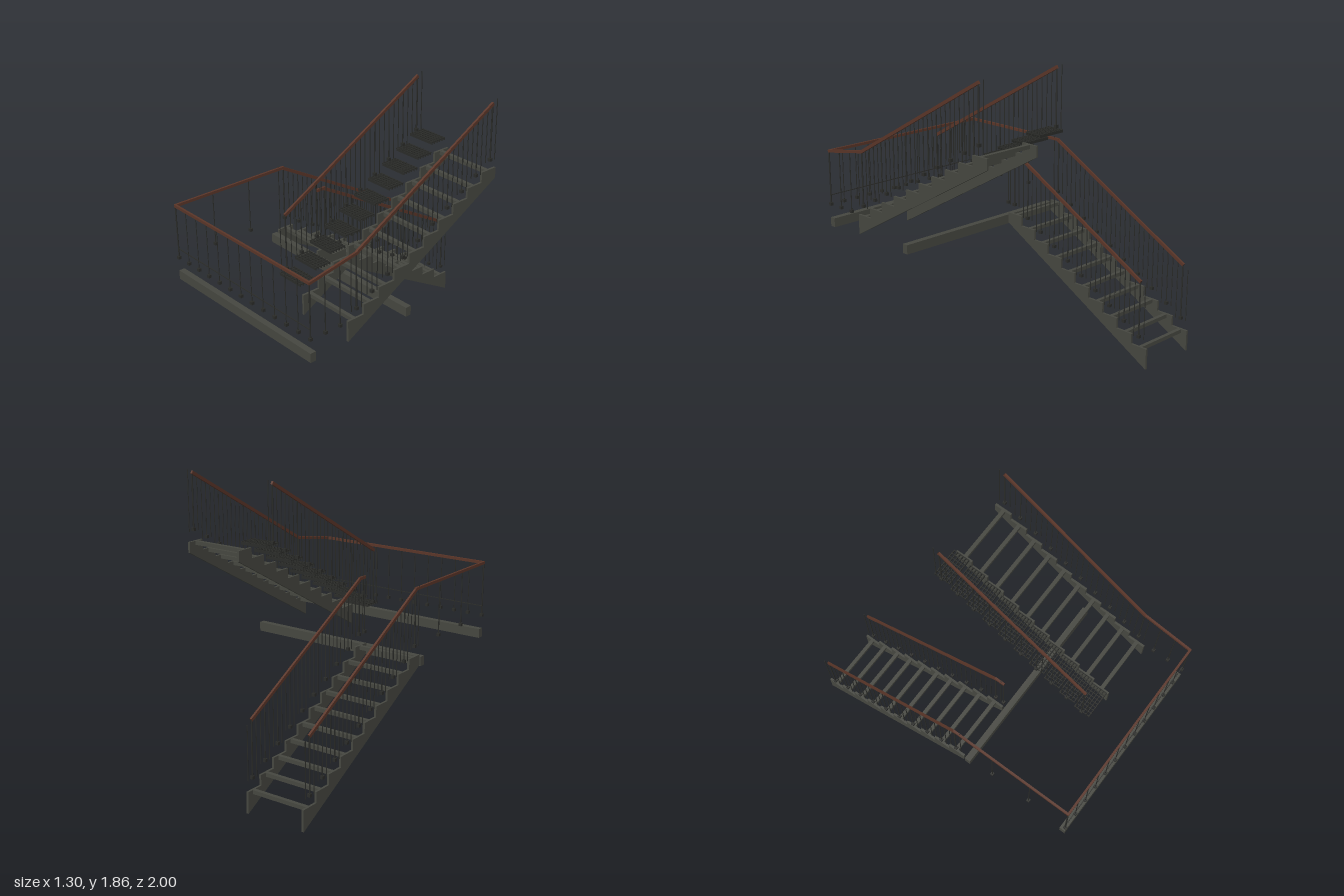
import * as THREE from 'three';

const mat = (name, color) => Object.assign(new THREE.MeshStandardMaterial({ color }), { name });

const STEPS = 10, GO = 0.12, RISE = 0.0672, SLOPE = RISE / GO;
const FIRST_TOP = 0.136;               // height of the first step notch
const RAIL_Y = 0.565;                  // handrail height above the first step centre
const LANDING_RAIL = 1.175, FOOT_Y = 0.805;

export function createModel() {
  const steel = mat('dark steel', 0x464740);
  const iron = mat('black iron', 0x2b2c29);
  const wood = mat('brown handrail', 0x5a3528);
  const model = new THREE.Group();
  model.name = 'staircase';

  const box = (parent, name, m, w, h, d, x, y, z) => {
    const mesh = new THREE.Mesh(new THREE.BoxGeometry(w, h, d), m);
    mesh.name = name;
    mesh.position.set(x, y, z);
    parent.add(mesh);
    return mesh;
  };

  // Straight rectangular bar between two points
  const bar = (parent, name, m, a, b, w, h) => {
    const p = new THREE.Vector3(...a), q = new THREE.Vector3(...b);
    const mesh = box(parent, name, m, w, h, p.distanceTo(q) + w * 0.6, 0, 0, 0);
    mesh.position.copy(p).lerp(q, 0.5);
    mesh.lookAt(q);
    return mesh;
  };

  // Thin upright rod from y0 to y1
  const rod = (parent, name, x, y0, y1, z, r = 0.003) => {
    const mesh = new THREE.Mesh(new THREE.CylinderGeometry(r, r, y1 - y0, 6), iron);
    mesh.name = name;
    mesh.position.set(x, (y0 + y1) / 2, z);
    parent.add(mesh);
  };

  // Rod standing on a small square foot
  const post = (parent, x, y0, y1, z, r = 0.0035) => {
    rod(parent, 'post', x, y0, y1, z, r);
    box(parent, 'postFoot', iron, 0.02, 0.02, 0.02, x, y0 + 0.01, z);
  };

  // Saw-tooth stringer profile, extruded across its thickness
  const profile = new THREE.Shape();
  profile.moveTo(0, 0);
  profile.lineTo(STEPS * GO, STEPS * RISE);
  for (let i = STEPS - 1; i >= 0; i--) {
    const top = FIRST_TOP + i * RISE;
    profile.lineTo((i + 1) * GO, top);
    profile.lineTo(i * GO, top);
  }
  profile.closePath();
  const stringerGeo = new THREE.ExtrudeGeometry(profile, { depth: 0.015, bevelEnabled: false });
  stringerGeo.translate(0, 0, -0.0075).rotateY(-Math.PI / 2);

  // One flight climbing along its local +z
  const flight = (name, stringers, rails) => {
    const g = new THREE.Group();
    g.name = name;
    for (const x of stringers) {
      const s = new THREE.Mesh(stringerGeo, steel);
      s.name = 'stringer';
      s.position.x = x;
      g.add(s);
    }
    const mid = (stringers[0] + stringers[1]) / 2;
    const span = Math.abs(stringers[1] - stringers[0]);
    for (let i = 0; i < STEPS; i++) {
      box(g, 'treadBearer', steel, span, 0.025, 0.025, mid, FIRST_TOP + i * RISE - 0.013, i * GO + 0.055);
    }
    const railAt = (z) => RAIL_Y + (z - GO / 2) * SLOPE;
    for (const x of rails) {
      const z0 = GO / 2, z1 = (STEPS - 0.5) * GO;
      bar(g, 'handrail', wood, [x, railAt(z0), z0], [x, railAt(z1), z1], 0.014, 0.02);
      for (let i = 0; i < STEPS; i++) {
        const y = FIRST_TOP + i * RISE + 0.06, c = (i + 0.5) * GO;
        post(g, x, y, railAt(c), c, i === 0 || i === STEPS - 1 ? 0.005 : 0.0035);
        for (const o of [-0.04, 0.04]) rod(g, 'baluster', x, y, railAt(c + o), c + o);
      }
    }
    model.add(g);
    return g;
  };

  flight('lowerFlight', [-0.636, -0.233], [-0.641, -0.224]).position.z = -1;

  // The upper flight is turned round, so its local x is mirrored
  const upper = flight('upperFlight', [-0.628, -0.228], [-0.64, -0.006]);
  upper.rotation.y = Math.PI;
  upper.position.set(0, 0.672, 0.7);

  // Open grating treads beside the upper flight
  for (let i = 0; i < STEPS; i++) {
    const tread = new THREE.Group();
    tread.name = 'gratingTread';
    for (let k = 0; k < 6; k++) {
      box(tread, 'gratingBar', iron, 0.196, 0.018, 0.005, 0, -0.003, -0.055 + k * 0.022);
    }
    for (let k = 0; k < 9; k++) {
      box(tread, 'gratingRod', iron, 0.004, 0.006, 0.118, -0.096 + k * 0.024, 0.004, 0);
    }
    tread.position.set(0.107, 0.863 + i * RISE, 0.64 - i * GO);
    model.add(tread);
  }

  // Landing beams
  for (const z of [0.229, 0.971]) {
    box(model, 'landingBeam', steel, 1.29, 0.061, 0.04, 0, 0.692, z);
  }

  // Landing handrails
  const Z = 0.985, X = 0.641, Y = LANDING_RAIL;
  const landingRail = [
    [[-X, Y, 0.14], [-X, Y, Z]],
    [[-X, Y, Z], [X, Y, Z]],
    [[X, Y, Z], [X, 1.237, 0.64]],
    [[-0.224, Y, 0.14], [-0.224, Y, 0.2]],
  ];
  for (const [a, b] of landingRail) bar(model, 'landingHandrail', wood, a, b, 0.014, 0.018);

  // Landing posts and the thin lower rail along the front
  for (let i = 0; i <= 12; i++) {
    post(model, -X + (i * 2 * X) / 12, FOOT_Y, Y, Z, i % 12 ? 0.003 : 0.005);
  }
  for (const z of [0.705, 0.425]) post(model, -X, FOOT_Y, Y, z);
  for (const z of [0.875, 0.765]) post(model, X, FOOT_Y, Y + (Z - z) * 0.18, z);
  post(model, -0.224, FOOT_Y, Y, 0.2);
  bar(model, 'lowerRail', iron, [-X, 0.877, Z], [X, 0.877, Z], 0.005, 0.005);

  return model;
}
